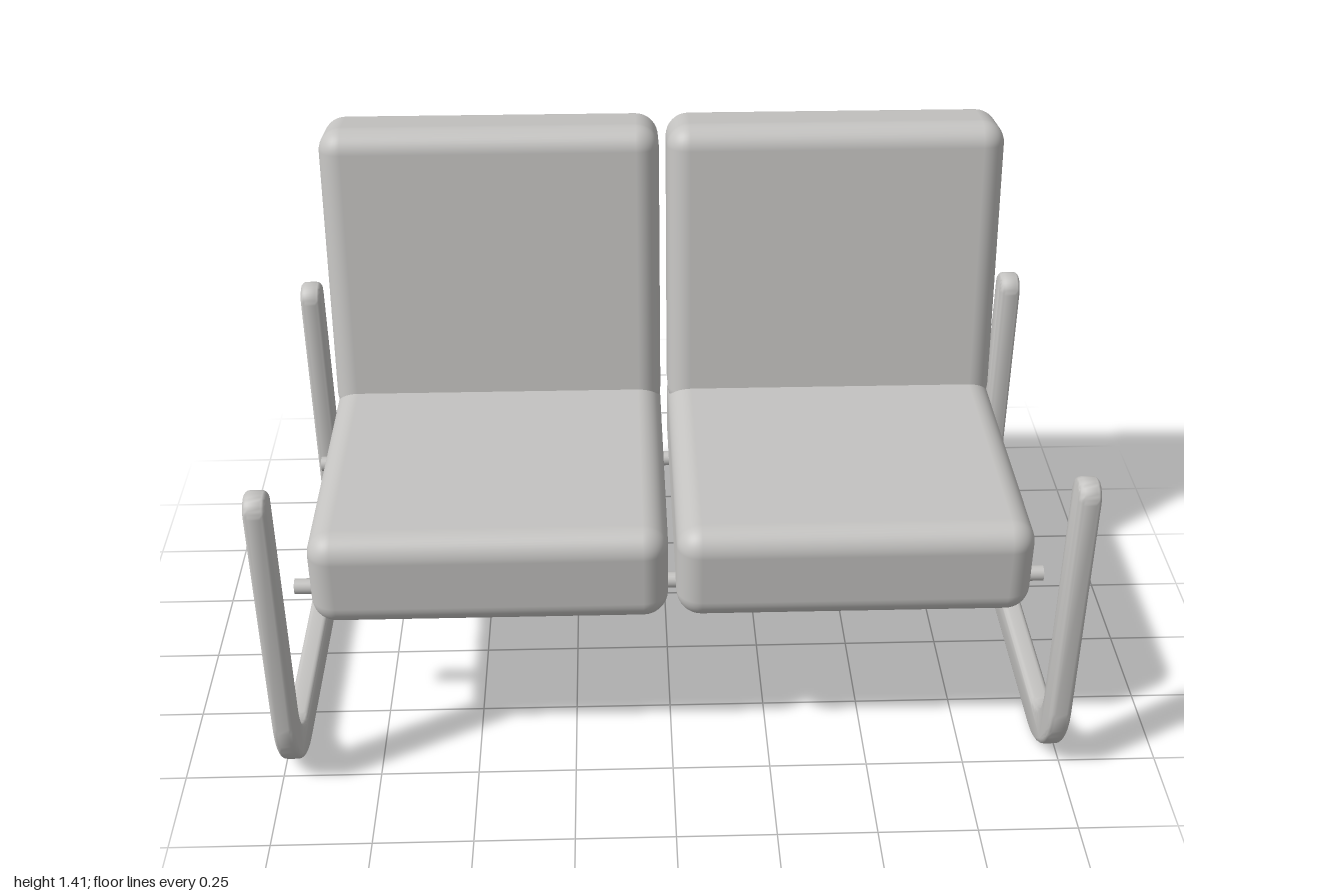
import * as THREE from 'three';
import { toCreasedNormals } from 'three/addons/utils/BufferGeometryUtils.js';
import { RoundedBoxGeometry } from 'three/addons/geometries/RoundedBoxGeometry.js';

// U-shaped side frame: flat tube with rounded tips and softened edges
function frameGeometry() {
  const out = 0.565, inn = 0.474, tube = out - inn, top = 0.843;
  const rOut = 0.21, rIn = rOut - tube, mid = (out + inn) / 2;
  const c = out - rOut; // centre of the bottom bends
  const s = new THREE.Shape();
  s.moveTo(-out, top);
  s.lineTo(-out, rOut);
  s.absarc(-c, rOut, rOut, Math.PI, Math.PI * 1.5, false);
  s.absarc(c, rOut, rOut, Math.PI * 1.5, Math.PI * 2, false);
  s.absarc(mid, top, tube / 2, 0, Math.PI, false);
  s.lineTo(inn, rOut);
  s.absarc(c, rOut, rIn, 0, -Math.PI / 2, true);
  s.absarc(-c, rOut, rIn, -Math.PI / 2, -Math.PI, true);
  s.absarc(-mid, top, tube / 2, 0, Math.PI, false);
  const width = 0.055, bevel = 0.014;
  const g = new THREE.ExtrudeGeometry(s, {
    depth: width - 2 * bevel, curveSegments: 10,
    bevelEnabled: true, bevelThickness: bevel, bevelSize: bevel, bevelOffset: -bevel, bevelSegments: 4,
  });
  g.translate(0, 0, -(width - 2 * bevel) / 2);
  g.rotateY(-Math.PI / 2);
  return toCreasedNormals(g, 0.7);
}

export function createModel() {
  const model = new THREE.Group();
  model.name = 'twoSeatSofa';
  const grey = new THREE.MeshStandardMaterial({ color: 0xc4c3c1 });
  grey.name = 'lightGrey';

  const add = (name, geometry, x, y, z) => {
    const mesh = new THREE.Mesh(geometry, grey);
    mesh.name = name;
    mesh.position.set(x, y, z);
    model.add(mesh);
    return mesh;
  };

  const frame = frameGeometry();
  const seat = new RoundedBoxGeometry(0.88, 0.255, 0.88, 5, 0.062);
  const back = new RoundedBoxGeometry(0.88, 0.795, 0.218, 5, 0.06);
  const rod = new THREE.CylinderGeometry(0.02, 0.02, 1.91, 20).rotateZ(Math.PI / 2);

  // Mirrored frames and cushions
  for (const [side, sx] of [['left', 1], ['right', -1]]) {
    add(side + 'Frame', frame, sx * 0.9725, 0, 0);
    add(side + 'SeatCushion', seat, sx * 0.45, 0.573, 0.03);
    const b = add(side + 'BackCushion', back, sx * 0.45, 1.005, -0.388);
    b.rotation.x = -THREE.MathUtils.degToRad(8);
  }

  // Cross rods under the seats
  add('frontRod', rod, 0, 0.445, 0.285);
  add('rearRod', rod, 0, 0.445, -0.285);

  return model;
}
